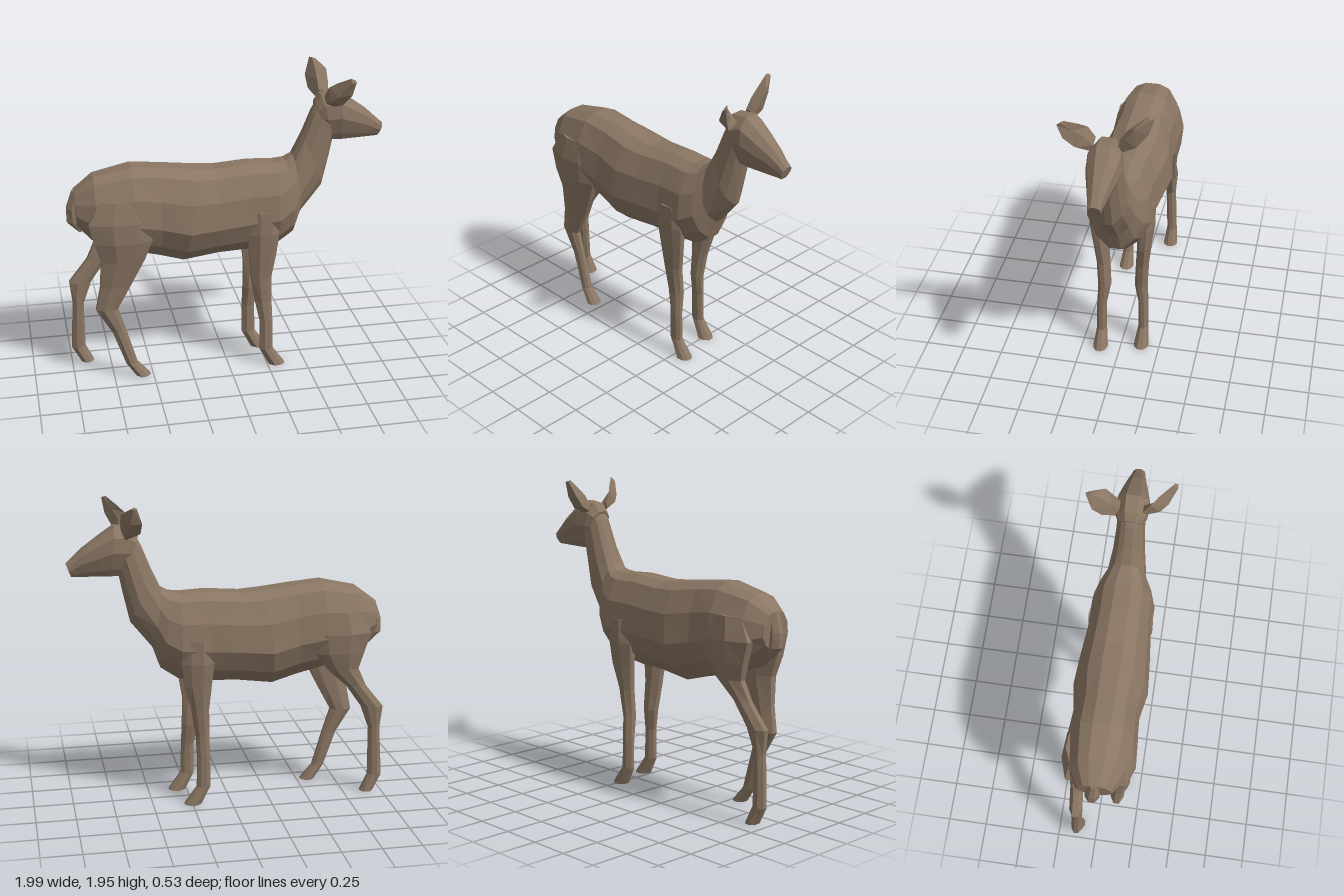
import * as THREE from 'three';

const coat = new THREE.MeshStandardMaterial({ color: 0x8a7663, flatShading: true });
coat.name = 'brownCoat';

// Skin a list of equal-length point rings, cap both ends and face it outwards
function loft(name, rings) {
  const n = rings[0].length, pos = [];
  const tri = (a, b, c) => pos.push(...a, ...b, ...c);
  const centre = (r) => [0, 1, 2].map((k) => r.reduce((s, p) => s + p[k], 0) / n);
  for (let i = 0; i < rings.length - 1; i++) {
    for (let j = 0; j < n; j++) {
      const k = (j + 1) % n, a = rings[i], b = rings[i + 1];
      if ((i + j) % 2) { tri(a[j], b[j], b[k]); tri(a[j], b[k], a[k]); }
      else { tri(a[j], b[j], a[k]); tri(a[k], b[j], b[k]); }
    }
  }
  const first = rings[0], last = rings[rings.length - 1];
  const c0 = centre(first), c1 = centre(last);
  for (let j = 0; j < n; j++) {
    const k = (j + 1) % n;
    tri(c0, first[j], first[k]);
    tri(c1, last[k], last[j]);
  }
  // a negative volume means the corners run the wrong way round
  let volume = 0;
  for (let i = 0; i < pos.length; i += 9) {
    const [a, b, c] = [0, 3, 6].map((o) => new THREE.Vector3(...pos.slice(i + o, i + o + 3)));
    volume += a.dot(b.cross(c));
  }
  if (volume < 0) {
    for (let i = 0; i < pos.length; i += 9) {
      for (let k = 0; k < 3; k++) [pos[i + 3 + k], pos[i + 6 + k]] = [pos[i + 6 + k], pos[i + 3 + k]];
    }
  }
  const geometry = new THREE.BufferGeometry();
  geometry.setAttribute('position', new THREE.Float32BufferAttribute(pos, 3));
  geometry.computeVertexNormals();
  const mesh = new THREE.Mesh(geometry, coat);
  mesh.name = name;
  return mesh;
}

// Symmetric ring from a top point down to a bottom point; outline = [fraction down, fraction of half width]
function spineRing([tx, ty, bx, by, w], outline) {
  const side = (s) => outline.map(([t, f]) => [tx + (bx - tx) * t, ty + (by - ty) * t, s * f * w]);
  return [...side(1), ...side(-1).reverse()];
}

// Six-sided level ring: height, back x, front x, centre z, half width
function legRing([y, x0, x1, z, w]) {
  const d = x1 - x0;
  return [[0, 0.4], [0.35, 1], [0.75, 0.85], [1, 0.35], [1, -0.35], [0.75, -0.85], [0.35, -1], [0, -0.4]]
    .map(([t, s]) => [x0 + d * t, y, z + w * s]);
}

export function createModel() {
  const deer = new THREE.Group();
  deer.name = 'deer';

  // Trunk and neck in one skin: top x, top y, bottom x, bottom y, half width
  const trunkOutline = [[0, 0.25], [0.07, 0.6], [0.3, 0.9], [0.6, 1], [0.83, 0.74], [1, 0.22]];
  deer.add(loft('bodyAndNeck', [
    [-0.95, 1.27, -0.94, 1.04, 0.11],
    [-0.83, 1.36, -0.83, 0.92, 0.185],
    [-0.6, 1.41, -0.6, 0.85, 0.215],
    [-0.42, 1.395, -0.44, 0.81, 0.205],
    [-0.22, 1.37, -0.28, 0.765, 0.235],
    [-0.08, 1.36, -0.05, 0.795, 0.22],
    [0.14, 1.378, 0.13, 0.8, 0.2],
    [0.3, 1.37, 0.32, 0.825, 0.2],
    [0.37, 1.38, 0.43, 0.9, 0.165],
    [0.42, 1.41, 0.475, 1.03, 0.125],
    [0.48, 1.54, 0.61, 1.2, 0.1],
    [0.54, 1.69, 0.655, 1.4, 0.088],
    [0.58, 1.76, 0.68, 1.53, 0.085],
  ].map((s) => spineRing(s, trunkOutline))));

  // Head, tapering to the muzzle
  const headOutline = [[0, 0.4], [0.2, 0.9], [0.5, 1], [0.85, 0.65], [1, 0.4]];
  deer.add(loft('head', [
    [0.555, 1.74, 0.62, 1.56, 0.075],
    [0.59, 1.79, 0.665, 1.5, 0.095],
    [0.7, 1.805, 0.73, 1.5, 0.105],
    [0.79, 1.745, 0.79, 1.5, 0.088],
    [0.89, 1.675, 0.88, 1.5, 0.062],
    [0.955, 1.615, 0.93, 1.5, 0.046],
    [0.995, 1.58, 0.965, 1.5, 0.04],
  ].map((s) => spineRing(s, headOutline))));

  // Ears: root ring, wide middle, narrow tip; each is turned differently
  deer.add(loft('leftEar', [
    [[0.6, 1.79, 0.07], [0.61, 1.75, 0.09], [0.66, 1.73, 0.09], [0.66, 1.77, 0.07]],
    [[0.615, 1.86, 0.11], [0.62, 1.79, 0.17], [0.69, 1.765, 0.175], [0.66, 1.82, 0.13]],
    [[0.66, 1.9, 0.155], [0.655, 1.83, 0.215], [0.73, 1.84, 0.23], [0.69, 1.87, 0.185]],
    [[0.72, 1.945, 0.225], [0.72, 1.92, 0.26], [0.745, 1.93, 0.258], [0.74, 1.94, 0.24]],
  ]));
  deer.add(loft('rightEar', [
    [[0.6, 1.79, -0.07], [0.58, 1.75, -0.09], [0.64, 1.73, -0.09], [0.66, 1.78, -0.07]],
    [[0.6, 1.85, -0.11], [0.555, 1.78, -0.165], [0.64, 1.77, -0.17], [0.67, 1.83, -0.11]],
    [[0.6, 1.9, -0.165], [0.55, 1.85, -0.225], [0.62, 1.85, -0.235], [0.67, 1.9, -0.16]],
    [[0.595, 1.955, -0.235], [0.585, 1.95, -0.262], [0.605, 1.945, -0.268], [0.62, 1.945, -0.24]],
  ]));

  // Hind legs, the right one stretched further back
  deer.add(loft('leftHindLeg', [
    [1.24, -0.8, -0.54, 0.14, 0.06],
    [1.1, -0.88, -0.48, 0.155, 0.072],
    [0.97, -0.85, -0.49, 0.155, 0.07],
    [0.84, -0.81, -0.54, 0.145, 0.055],
    [0.66, -0.82, -0.63, 0.13, 0.043],
    [0.5, -0.85, -0.715, 0.12, 0.042],
    [0.34, -0.755, -0.665, 0.125, 0.03],
    [0.11, -0.675, -0.6, 0.13, 0.034],
    [0.015, -0.61, -0.52, 0.13, 0.048],
  ].map(legRing)));
  deer.add(loft('rightHindLeg', [
    [1.24, -0.82, -0.56, -0.14, 0.06],
    [1.1, -0.89, -0.5, -0.155, 0.072],
    [0.97, -0.85, -0.54, -0.15, 0.065],
    [0.86, -0.82, -0.62, -0.14, 0.05],
    [0.74, -0.875, -0.75, -0.13, 0.042],
    [0.59, -0.995, -0.855, -0.125, 0.042],
    [0.44, -0.98, -0.91, -0.12, 0.034],
    [0.12, -0.998, -0.91, -0.13, 0.034],
    [0.012, -0.94, -0.86, -0.13, 0.048],
  ].map(legRing)));

  // Front legs share a shoulder; the lower right leg sits a little behind
  for (const [name, side, back] of [['leftFrontLeg', 1, 0], ['rightFrontLeg', -1, 0.065]]) {
    deer.add(loft(name, [
      [1.1, 0.12, 0.3, side * 0.145, 0.06],
      [0.95, 0.11, 0.31, side * 0.15, 0.055],
      [0.8, 0.125, 0.295, side * 0.14, 0.045],
      [0.64, 0.14, 0.27 - back * 0.3, side * 0.125, 0.042],
      [0.46, 0.17 - back * 0.5, 0.275 - back * 0.8, side * 0.115, 0.042],
      [0.32, 0.2 - back, 0.28 - back, side * 0.13, 0.032],
      [0.12, 0.2 - back, 0.285 - back, side * 0.132, 0.032],
      [0.005, 0.26 - back, 0.365 - back, side * 0.13, 0.048],
    ].map(legRing)));
  }

  // Short tail tucked against the rump
  deer.add(loft('tail', [
    [1.265, -0.96, -0.9, 0, 0.03],
    [1.15, -0.997, -0.91, -0.008, 0.045],
    [1.06, -0.997, -0.9, -0.01, 0.045],
    [0.99, -0.93, -0.905, -0.01, 0.02],
  ].map(legRing)));

  return deer;
}
